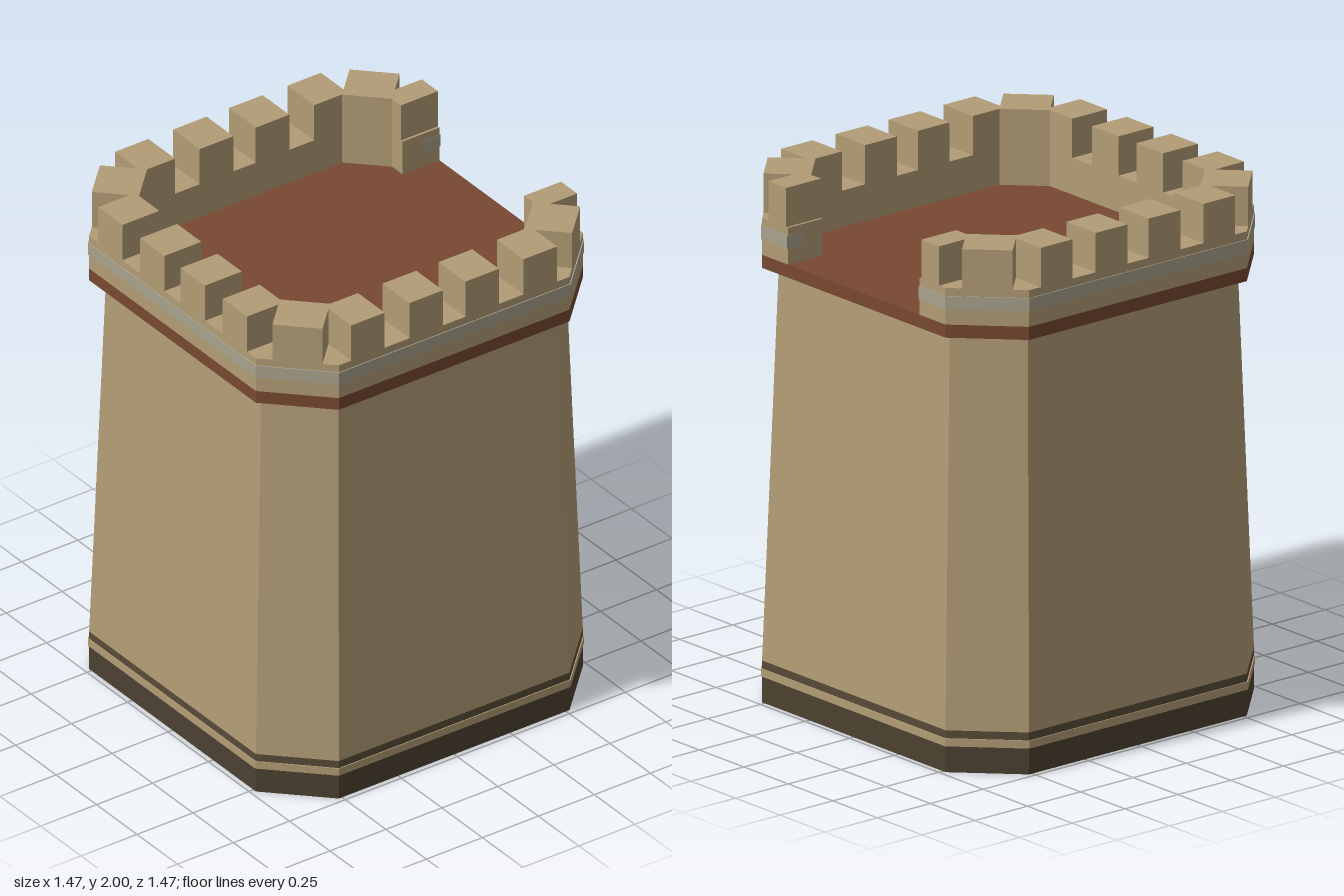
import * as THREE from 'three';

const mat = (name, color) => {
  const m = new THREE.MeshStandardMaterial({ color });
  m.name = name;
  return m;
};

// Plan of a chamfered square: half width h, chamfer starts at c
const octagon = (h, c) => [[c, -h], [h, -c], [h, c], [c, h], [-c, h], [-h, c], [-h, -c], [-c, -h]];

// Plan of a wall ring left open at the back between x = -gap and x = gap
const openRing = (ho, co, hi, ci, gap) => [
  [gap, -ho], ...octagon(ho, co), [-gap, -ho],
  [-gap, -hi], ...octagon(hi, ci).reverse(), [gap, -hi],
];

// Upright prism from an (x, z) plan, optionally tapered towards the top
function prism(name, plan, y0, y1, material, topScale = 1) {
  const shape = new THREE.Shape(plan.map(([x, z]) => new THREE.Vector2(x, -z)));
  const geo = new THREE.ExtrudeGeometry(shape, { depth: y1 - y0, bevelEnabled: false });
  geo.rotateX(-Math.PI / 2);
  geo.translate(0, y0, 0);
  if (topScale !== 1) {
    const p = geo.attributes.position;
    for (let i = 0; i < p.count; i++) {
      const s = THREE.MathUtils.lerp(1, topScale, (p.getY(i) - y0) / (y1 - y0));
      p.setX(i, p.getX(i) * s);
      p.setZ(i, p.getZ(i) * s);
    }
    geo.computeVertexNormals();
  }
  const mesh = new THREE.Mesh(geo, material);
  mesh.name = name;
  return mesh;
}

export function createModel() {
  const stone = mat('sandstone', 0xb29c75);
  const dark = mat('dark footing', 0x4c4131);
  const trim = mat('dark trim', 0x584b38);
  const wood = mat('brown deck', 0x774830);
  const grey = mat('grey band', 0xa9a28d);

  const tower = new THREE.Group();
  tower.name = 'tower';
  const H = 0.73, C = 0.515, HI = 0.565, CI = 0.435, GAP = 0.37;

  // Footing, body and deck
  tower.add(
    prism('footing', octagon(H, C), 0, 0.1, dark),
    prism('footingLedge', octagon(H + 0.004, C + 0.002), 0.1, 0.13, stone),
    prism('footingTrim', octagon(H, C), 0.13, 0.16, trim),
    prism('body', octagon(H, C), 0.16, 1.66, stone, 0.932),
    prism('deck', octagon(H, C), 1.66, 1.71, wood),
  );

  // Parapet with its grey band
  tower.add(
    prism('parapet', openRing(H, C, HI, CI, GAP), 1.71, 1.85, stone),
    prism('parapetBand', openRing(H + 0.004, C + 0.002, 0.66, 0.486, GAP - 0.001), 1.77, 1.82, grey),
  );

  // Battlements: four on each closed side, one across each corner
  const battlements = new THREE.Group();
  battlements.name = 'battlements';
  const block = (name, plan, angle = 0) => {
    const m = prism(name, plan, 1.85, 2, stone);
    m.rotation.y = angle;
    battlements.add(m);
  };
  const rect = (x0, x1) => [[x0, HI], [x1, HI], [x1, H], [x0, H]];
  for (const side of [-1, 0, 1]) {
    for (const x of [-0.46, -0.2, 0.05, 0.31]) {
      block('sideMerlon', rect(x, x + 0.15), side * Math.PI / 2);
    }
  }
  for (let i = 0; i < 4; i++) {
    block('cornerMerlon', [[CI, HI], [0.5575, 0.6875], [0.6875, 0.5575], [HI, CI]], i * Math.PI / 2);
  }
  // Short blocks beside the rear opening
  for (const [a, b] of [[-0.48, -0.38], [0.38, 0.48]]) block('rearMerlon', rect(a, b), Math.PI);
  tower.add(battlements);

  return tower;
}
